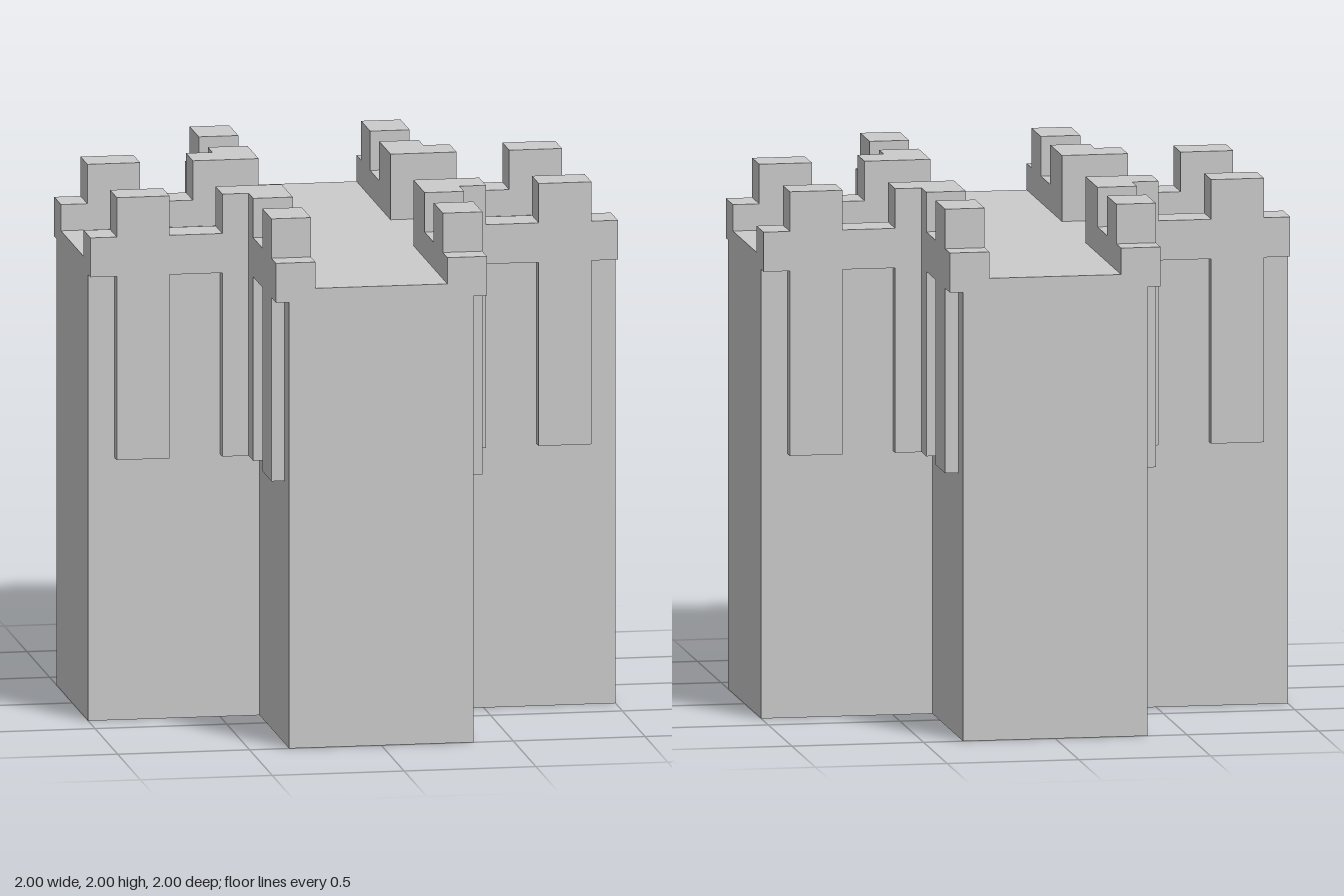
import * as THREE from 'three';

const material = new THREE.MeshStandardMaterial({ color: 0xcccccc, flatShading: true });

// Extrude a plan outline upwards from y0 to y1
function prism(name, points, y0, y1) {
  const shape = new THREE.Shape(points.map(([x, y]) => new THREE.Vector2(x, y)));
  const geometry = new THREE.ExtrudeGeometry(shape, { depth: y1 - y0, bevelEnabled: false });
  geometry.rotateX(-Math.PI / 2).translate(0, y0, 0);
  const mesh = new THREE.Mesh(geometry, material);
  mesh.name = name;
  return mesh;
}

// Plus-shaped plan with arms of half width w reaching to 1
const cross = (w) => [
  [w, -1], [w, -w], [1, -w], [1, w], [w, w], [w, 1],
  [-w, 1], [-w, w], [-1, w], [-1, -w], [-w, -w], [-w, -1],
];

// L-shaped plan around an inner corner, from a to b thick, legs reaching to end
const ell = (a, b, end) => [[a, a], [end, a], [end, b], [b, b], [b, end], [a, end]];

const rect = (x0, x1, y0, y1) => [[x0, y0], [x1, y0], [x1, y1], [x0, y1]];

export function createModel() {
  const model = new THREE.Group();
  model.name = 'castleKeep';

  // Walls and the roof deck between the parapets
  model.add(prism('walls', cross(0.35), 0, 1.7));
  model.add(prism('roofDeck', cross(0.25), 1.7, 1.75));

  // The same battlement in each of the four inner corners
  for (let i = 0; i < 4; i++) {
    const corner = new THREE.Group();
    corner.name = 'cornerBattlement' + (i + 1);
    corner.add(
      prism('parapet', ell(0.25, 0.4, 1), 1.7, 1.85),
      prism('cornerMerlon', ell(0.25, 0.4, 0.5), 1.85, 2),
      prism('cornerPilaster', ell(0.35, 0.4, 0.5), 1, 1.7),
      prism('merlon', rect(0.7, 0.9, 0.25, 0.4), 1.85, 2),
      prism('merlon', rect(0.25, 0.4, 0.7, 0.9), 1.85, 2),
      prism('pilaster', rect(0.7, 0.9, 0.35, 0.4), 1, 1.7),
      prism('pilaster', rect(0.35, 0.4, 0.7, 0.9), 1, 1.7),
    );
    corner.rotation.y = (i * Math.PI) / 2;
    model.add(corner);
  }
  return model;
}
